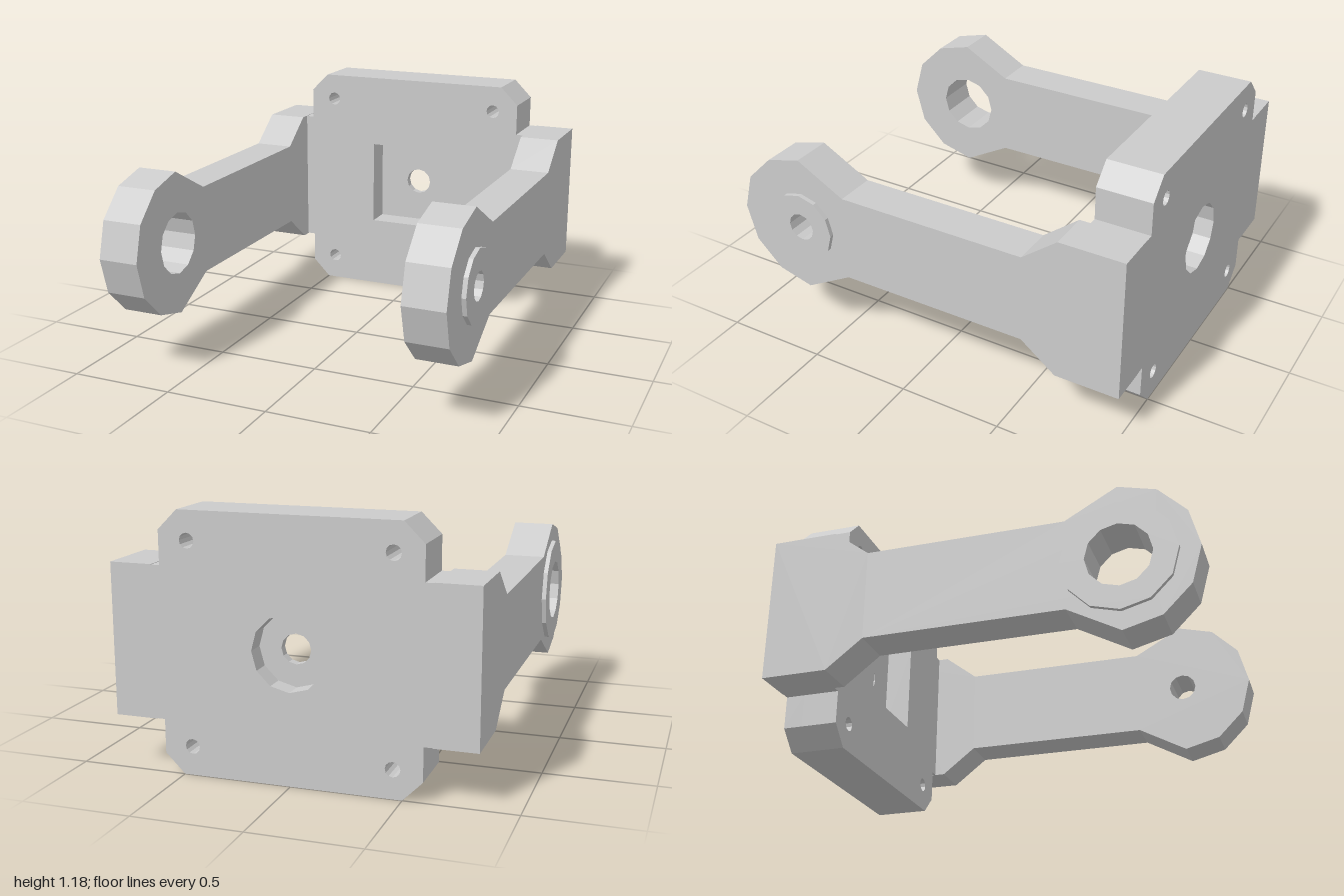
import * as THREE from 'three';

const MID_Y = 0.59;   // height of the centre line
const PIVOT_Z = 0.65; // pivot axis position along the arms

const material = new THREE.MeshStandardMaterial({ color: 0xcccccc, flatShading: true });

// Regular polygon standing in for a circle
function ring(cx, cy, r, sides = 12) {
  return Array.from({ length: sides }, (_, i) => {
    const a = (i / sides) * Math.PI * 2;
    return new THREE.Vector2(cx + r * Math.cos(a), cy + r * Math.sin(a));
  });
}

function prism(outline, holes, depth) {
  const shape = new THREE.Shape(outline);
  for (const h of holes) shape.holes.push(new THREE.Path(h));
  return new THREE.ExtrudeGeometry(shape, { depth, bevelEnabled: false });
}

function addMesh(parent, name, geometry) {
  const mesh = new THREE.Mesh(geometry, material);
  mesh.name = name;
  parent.add(mesh);
}

// Prism drawn in the (z, y) plane, spanning x0 to x1
function sidePrism(outline, holes, x0, x1) {
  return prism(outline, holes, x1 - x0).rotateY(-Math.PI / 2).translate(x1, 0, 0);
}

// Plate outline: chamfered corners and an ear on each side, mirrored four ways
function plateOutline() {
  const q = [[0.63, 0.345], [0.59, 0.345], [0.59, 0.5], [0.5, 0.59]];
  const r = [...q].reverse();
  const pts = [
    ...q,
    ...r.map(([x, y]) => [-x, y]),
    ...q.map(([x, y]) => [-x, -y]),
    ...r.map(([x, y]) => [x, -y]),
  ];
  return pts.map(([x, y]) => new THREE.Vector2(x, y + MID_Y));
}

// Arm outline: rounded pivot end, slim bar, flared root
function armOutline() {
  const upper = [];
  for (let i = 0; i <= 3; i++) {
    const a = (i / 6) * Math.PI;
    upper.push([PIVOT_Z + 0.35 * Math.cos(a), 0.347 * Math.sin(a)]);
  }
  upper.push([0.41, 0.215], [-0.52, 0.215], [-0.69, 0.347], [-1, 0.347]);
  const lower = upper.slice(1).reverse().map(([z, y]) => [z, -y]);
  return [...upper, ...lower].map(([z, y]) => new THREE.Vector2(z, y + MID_Y));
}

export function createModel() {
  const model = new THREE.Group();
  model.name = 'bracket';

  // Mounting plate in three layers: round recess, thin web, square recess
  const plate = new THREE.Group();
  plate.name = 'mountingPlate';
  model.add(plate);
  const screwHoles = [];
  for (const sx of [-1, 1])
    for (const sy of [-1, 1]) screwHoles.push(ring(sx * 0.458, MID_Y + sy * 0.458, 0.034));
  const square = [[-1, -1], [1, -1], [1, 1], [-1, 1]].map(
    ([x, y]) => new THREE.Vector2(x * 0.22, MID_Y + y * 0.22));
  const layers = [
    ['plateBack', -1, -0.91, ring(0, MID_Y, 0.17)],
    ['plateWeb', -0.91, -0.87, ring(0, MID_Y, 0.068)],
    ['plateFront', -0.87, -0.74, square],
  ];
  for (const [name, z0, z1, hole] of layers)
    addMesh(plate, name, prism(plateOutline(), [...screwHoles, hole], z1 - z0).translate(0, 0, z0));

  // Arms with a raised ring around each pivot hole
  const arms = [
    { name: 'left', side: 1, hole: 0.068, boss: 0.17 },
    { name: 'right', side: -1, hole: 0.15, boss: 0.26 },
  ];
  for (const { name, side, hole, boss } of arms) {
    const arm = new THREE.Group();
    arm.name = name + 'Arm';
    model.add(arm);
    const bore = ring(PIVOT_Z, MID_Y, hole);
    const span = (a, b) => (side > 0 ? [a, b] : [-b, -a]);
    addMesh(arm, name + 'ArmBar', sidePrism(armOutline(), [bore], ...span(0.63, 0.826)));
    addMesh(arm, name + 'PivotRing',
      sidePrism(ring(PIVOT_Z, MID_Y, boss), [bore], ...span(0.826, 0.847)));
  }
  return model;
}
